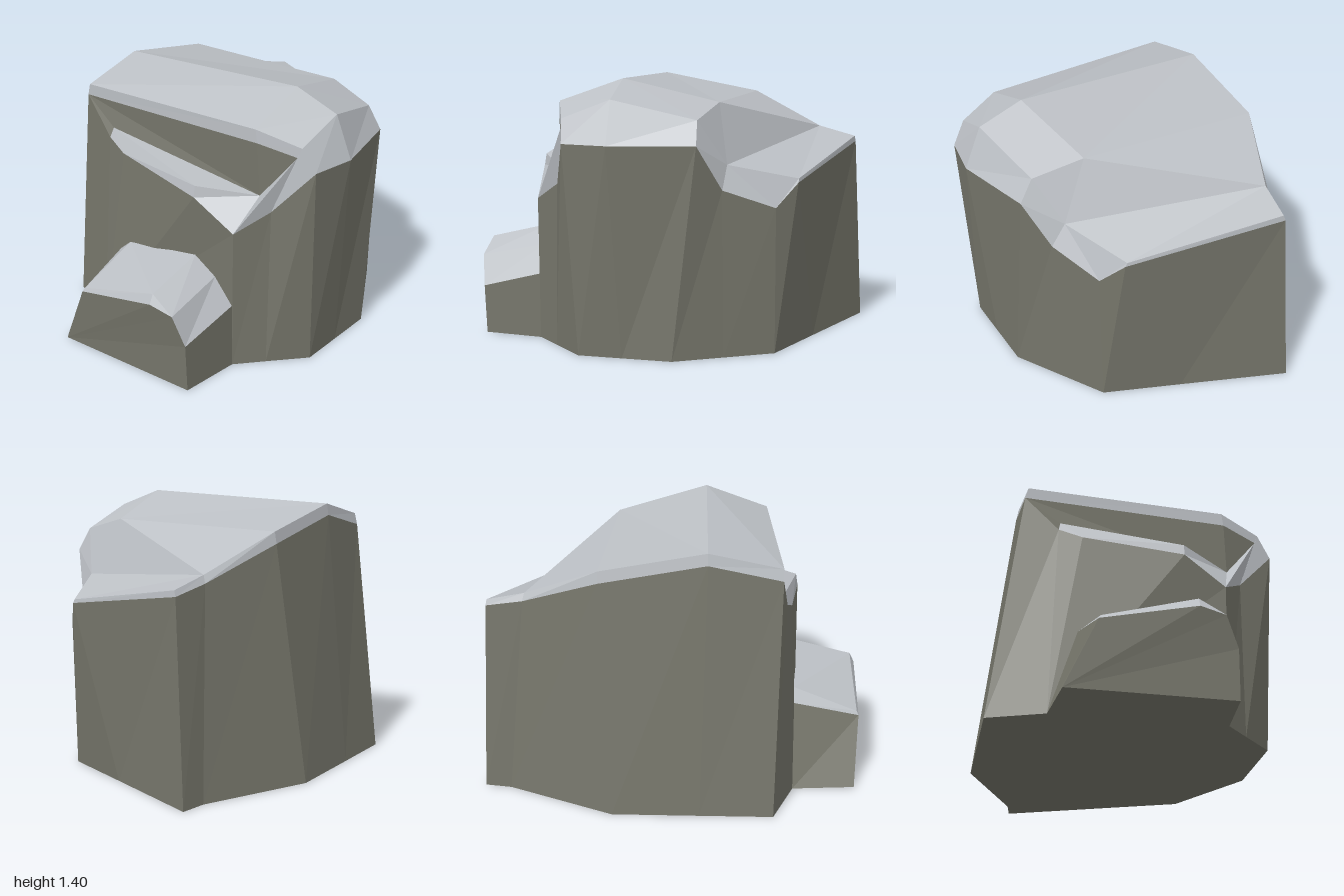
import * as THREE from 'three';

const stone = new THREE.MeshStandardMaterial({ color: 0x76766b });
stone.name = 'darkStone';
const cap = new THREE.MeshStandardMaterial({ color: 0xbcc0c5 });
cap.name = 'paleCap';

// Flat-shaded mesh from convex polygons, corners counter-clockwise from outside
function facets(name, material, polygons) {
  const pos = [];
  const a = new THREE.Vector3(), b = new THREE.Vector3(), c = new THREE.Vector3();
  for (const p of polygons) {
    for (let i = 1; i < p.length - 1; i++) {
      a.set(...p[0]); b.set(...p[i]); c.set(...p[i + 1]);
      if (b.clone().sub(a).cross(c.clone().sub(a)).length() < 1e-7) continue;
      pos.push(...p[0], ...p[i], ...p[i + 1]);
    }
  }
  const g = new THREE.BufferGeometry();
  g.setAttribute('position', new THREE.Float32BufferAttribute(pos, 3));
  g.computeVertexNormals();
  const mesh = new THREE.Mesh(g, material);
  mesh.name = name;
  return mesh;
}

// Quads between a lower and an upper row of points
const strip = (low, high) =>
  low.slice(1).map((p, i) => [low[i], p, high[i + 1], high[i]]);

export function createModel() {
  const group = new THREE.Group();
  group.name = 'rock';

  // Three matching rows, from the front right corner round the back to the front left
  const base = [
    [0.41, 0.63], [0.53, 0.5], [0.69, 0.33], [0.69, 0.1], [0.69, -0.16], [0.555, -0.4], [0.42, -0.64],
    [0.03, -0.79], [-0.51, -1], [-0.53, -0.86], [-0.78, -0.3], [-0.775, 0.15], [-0.77, 0.53],
  ].map(([x, z]) => [x, 0, z]);
  const wallTop = [
    [0.42, 0.76, 0.63], [0.54, 0.86, 0.48], [0.74, 1.09, 0.39], [0.78, 1.09, 0.15], [0.68, 1.09, -0.28],
    [0.57, 0.86, -0.39], [0.44, 0.76, -0.64], [0.35, 0.88, -0.74], [-0.44, 1.01, -0.955],
    [-0.475, 1.05, -0.76], [-0.63, 1.21, -0.36], [-0.63, 1.31, 0.18], [-0.615, 1.23, 0.55],
  ];
  const rim = [
    [0.47, 0.93, 0.48], [0.65, 1.16, 0.42], [0.67, 1.21, 0.41], [0.69, 1.31, 0.15], [0.61, 1.21, -0.27],
    [0.5, 0.98, -0.4], [0.5, 0.98, -0.4], [0.34, 0.9, -0.74], [-0.43, 1.04, -0.95],
    [-0.46, 1.09, -0.75], [-0.62, 1.27, -0.36], [-0.62, 1.37, 0.18], [-0.6, 1.29, 0.55],
  ];

  // Front ledge and recess
  const toe = [-0.48, 0, 0.64];
  const p1 = [-0.44, 1.04, 0.58], p2 = [-0.32, 0.99, 0.61], p3 = [0.2, 0.91, 0.665];
  const q1 = [-0.43, 1.09, 0.56], q2 = [0.2, 0.97, 0.655];
  const brow = [0.46, 1.21, 0.49];
  const [q3, q4, cornerR, sideR, backR, notch, , notchEnd, tip, backL, sideL, ridgeL, frontL] = rim;
  const heel = base[12], cornerL = wallTop[12], ledge = wallTop[0];

  group.add(facets('bodyWalls', stone, [
    ...strip(base, wallTop),
    [heel, toe, p1, cornerL], [cornerL, p1, q1],
    [toe, p2, p1], [toe, p3, p2], [toe, base[0], ledge, p3],
  ]));
  group.add(facets('recessWall', stone, [[cornerL, q1, q3, brow], [brow, q3, q4]]));

  // Underside as a fan
  const ring = [...base, toe, base[0]];
  group.add(facets('underside', stone, ring.slice(1).map((p, i) => [[0, 0, 0], p, ring[i]])));

  // Pale top: edge band, ledge, then roof planes
  const frontR = [0.45, 1.28, 0.49], ridgeR = [0.45, 1.4, 0.15], shoulder = [0.35, 1.28, -0.33];
  group.add(facets('capEdge', cap, [
    ...strip(wallTop, rim),
    [cornerL, brow, frontR, frontL], [brow, q4, cornerR, frontR],
  ]));
  group.add(facets('frontLedge', cap, [
    [p1, p2, q1], [p2, p3, q2, q1], [p3, ledge, q3, q2], [q1, q2, q3],
  ]));
  group.add(facets('capRoof', cap, [
    [frontL, frontR, ridgeR, ridgeL],
    [frontR, cornerR, sideR, ridgeR],
    [ridgeR, sideR, backR, shoulder],
    [ridgeL, ridgeR, shoulder, sideL],
    [shoulder, backR, notch],
    [backL, sideL, shoulder, notch],
    [backL, notch, notchEnd, tip],
  ]));

  // Small boulder at the front
  const near = [
    [-0.45, 0, 0.97], [-0.29, 0.35, 0.99], [-0.28, 0.37, 0.98], [0.19, 0.5, 0.975],
    [0.32, 0.42, 0.985], [0.38, 0.26, 0.96], [0.38, 0, 0.95],
  ];
  const far = [
    [-0.48, 0, 0.64], [-0.34, 0.44, 0.64], [-0.27, 0.5, 0.64], [0.19, 0.58, 0.65],
    [0.31, 0.49, 0.64], [0.41, 0.35, 0.63], [0.41, 0, 0.63],
  ];
  const lip = [0.19, 0.45, 1];
  const sides = strip(near, far).map((q) => q.reverse());
  group.add(facets('boulderWalls', stone, [
    sides[0], sides[5],
    [near[0], near[6], near[5], near[4], lip, near[1]],
    [near[0], far[0], far[6], near[6]],
  ]));
  group.add(facets('boulderCap', cap, [
    ...sides.slice(1, 5),
    [near[1], lip, near[3], near[2]], [lip, near[4], near[3]],
  ]));
  // Face the boulder strips outward
  for (const name of ['boulderWalls', 'boulderCap']) orient(group.getObjectByName(name), new THREE.Vector3(0, 0.2, 0.8));
  return group;
}

// Flip triangles that face the inner point of a convex part
function orient(mesh, inner) {
  const p = mesh.geometry.attributes.position;
  const [a, b, c] = [0, 1, 2].map(() => new THREE.Vector3());
  for (let i = 0; i < p.count; i += 3) {
    a.fromBufferAttribute(p, i); b.fromBufferAttribute(p, i + 1); c.fromBufferAttribute(p, i + 2);
    const n = b.clone().sub(a).cross(c.clone().sub(a));
    if (n.dot(a.clone().sub(inner)) < 0) {
      p.setXYZ(i + 1, c.x, c.y, c.z);
      p.setXYZ(i + 2, b.x, b.y, b.z);
    }
  }
  mesh.geometry.computeVertexNormals();
}
